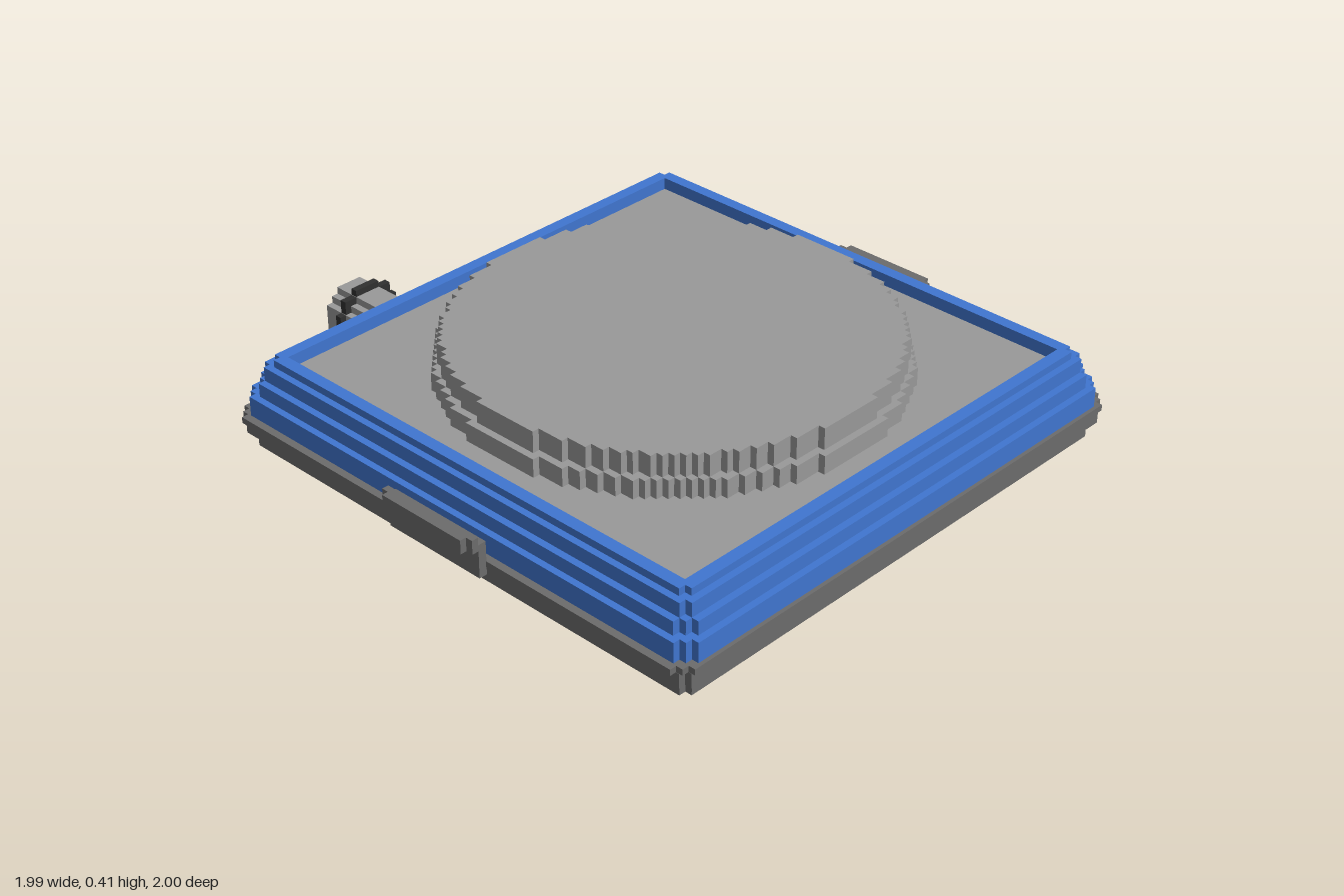
import * as THREE from 'three';

const V = 0.0228;   // size of one stair step
const CX = 0.077;   // middle of the case along x

const mat = (name, color) => {
  const m = new THREE.MeshStandardMaterial({ color });
  m.name = name;
  return m;
};

// Rectangle whose corners are cut back in n small square steps
function steppedRect(hx, hz, n) {
  const quarter = [];
  for (let i = 0; i <= n; i++) {
    quarter.push([hx - i * V, hz - (n - i) * V]);
    if (i < n) quarter.push([hx - (i + 1) * V, hz - (n - i) * V]);
  }
  return mirrorOutline(quarter);
}

// Circle rasterised into square steps
function steppedCircle(r) {
  const quarter = [];
  const rows = Math.round(r / V);
  let last = null;
  for (let i = 0; i < rows; i++) {
    const w = Math.max(1, Math.round(Math.sqrt(rows * rows - (i + 0.5) ** 2))) * r / rows;
    const y0 = i * r / rows, y1 = (i + 1) * r / rows;
    if (w === last) quarter[quarter.length - 1][1] = y1;
    else quarter.push([w, y0], [w, y1]);
    last = w;
  }
  quarter.shift();
  return mirrorOutline(quarter);
}

// Repeats a quarter outline in all four quadrants
function mirrorOutline(q) {
  const back = [...q].reverse();
  const pts = [
    ...q,
    ...back.map(([x, y]) => [-x, y]),
    ...q.map(([x, y]) => [-x, -y]),
    ...back.map(([x, y]) => [x, -y]),
  ].map(([x, y]) => new THREE.Vector2(x, y));
  return new THREE.Shape(pts.filter((p, i) => i === 0 || p.distanceTo(pts[i - 1]) > 1e-5));
}

const extrude = (shape, depth) => new THREE.ExtrudeGeometry(shape, { depth, bevelEnabled: false });

export function createModel() {
  const model = new THREE.Group();
  model.name = 'squareDevice';
  const blue = mat('blue', 0x4076d0);
  const grey = mat('light grey', 0x999999);
  const dark = mat('dark grey', 0x6c6c6c);
  const black = mat('near black', 0x303030);

  const add = (name, geometry, material, parent = model) => {
    const mesh = new THREE.Mesh(geometry, material);
    mesh.name = name;
    parent.add(mesh);
    return mesh;
  };
  const box = (name, x0, x1, y0, y1, z0, z1, material, parent) => {
    const m = add(name, new THREE.BoxGeometry(x1 - x0, y1 - y0, z1 - z0), material, parent);
    m.position.set((x0 + x1) / 2, (y0 + y1) / 2, (z0 + z1) / 2);
    return m;
  };
  // Flat layer of the case lying between two heights
  const layer = (name, shape, y0, y1, material) => {
    const g = extrude(shape, y1 - y0);
    g.rotateX(-Math.PI / 2);
    g.translate(CX, y0, 0);
    return add(name, g, material);
  };

  // Lower shell, widening towards the seam
  [
    [0.84, 0.86, 0, 0.025, 1],
    [0.886, 0.886, 0.025, 0.072, 1],
    [0.907, 0.91, 0.072, 0.12, 1],
    [0.919, 0.932, 0.12, 0.14, 2],
  ].forEach(([hx, hz, y0, y1, n], i) =>
    layer('lowerShell' + (i + 1), steppedRect(hx, hz, n), y0, y1, dark));

  // Upper shell, narrowing upwards; its top layers form a rim around the panel
  [
    [0.907, 0.14, 0.205, false],
    [0.885, 0.205, 0.25, false],
    [0.862, 0.25, 0.296, true],
    [0.84, 0.296, 0.32, true],
  ].forEach(([h, y0, y1, open], i) => {
    const shape = steppedRect(h, h, i < 2 ? 2 : 1);
    if (open) shape.holes.push(new THREE.Path(steppedRect(0.8, 0.8, 0).getPoints().reverse()));
    layer('upperShell' + (i + 1), shape, y0, y1, blue);
  });

  // Sunken panel and raised round pad
  box('topPanel', CX - 0.8, CX + 0.8, 0.24, 0.28, -0.8, 0.8, grey);
  layer('padFlange', steppedCircle(0.703), 0.275, 0.34, grey);
  layer('pad', steppedCircle(0.68), 0.34, 0.41, grey);

  // Hooked latches at front and back
  for (const s of [1, -1]) {
    const latch = new THREE.Group();
    latch.name = s > 0 ? 'frontLatch' : 'backLatch';
    const part = (name, hw, y0, y1, z0, z1) =>
      box(name, CX - hw, CX + hw, y0, y1, Math.min(s * z0, s * z1), Math.max(s * z0, s * z1), dark, latch);
    part('latchPlate', 0.183, 0.095, 0.205, 0.93, 0.957);
    part('latchHook', 0.183, 0.185, 0.23, 0.957, 0.979);
    part('latchLip', 0.159, 0.185, 0.23, 0.979, 1.0);
    model.add(latch);
  }

  // Side connector with collar and end contact
  const plug = new THREE.Group();
  plug.name = 'sideConnector';
  [
    ['connectorBarrel', 0.091, -0.97, -0.785, grey],
    ['connectorCollar', 0.112, -0.902, -0.88, black],
    ['connectorTip', 0.045, -0.99, -0.968, black],
  ].forEach(([name, r, x0, x1, material]) => {
    const g = extrude(steppedCircle(r), x1 - x0);
    g.rotateY(Math.PI / 2);
    g.translate(x0, 0.208, 0.36);
    add(name, g, material, plug);
  });
  model.add(plug);

  // Small button in a dark frame on the same side
  box('buttonFrame', -0.836, -0.80, 0.16, 0.25, -0.505, -0.414, black);
  box('button', -0.855, -0.83, 0.183, 0.228, -0.482, -0.437, dark);

  return model;
}
